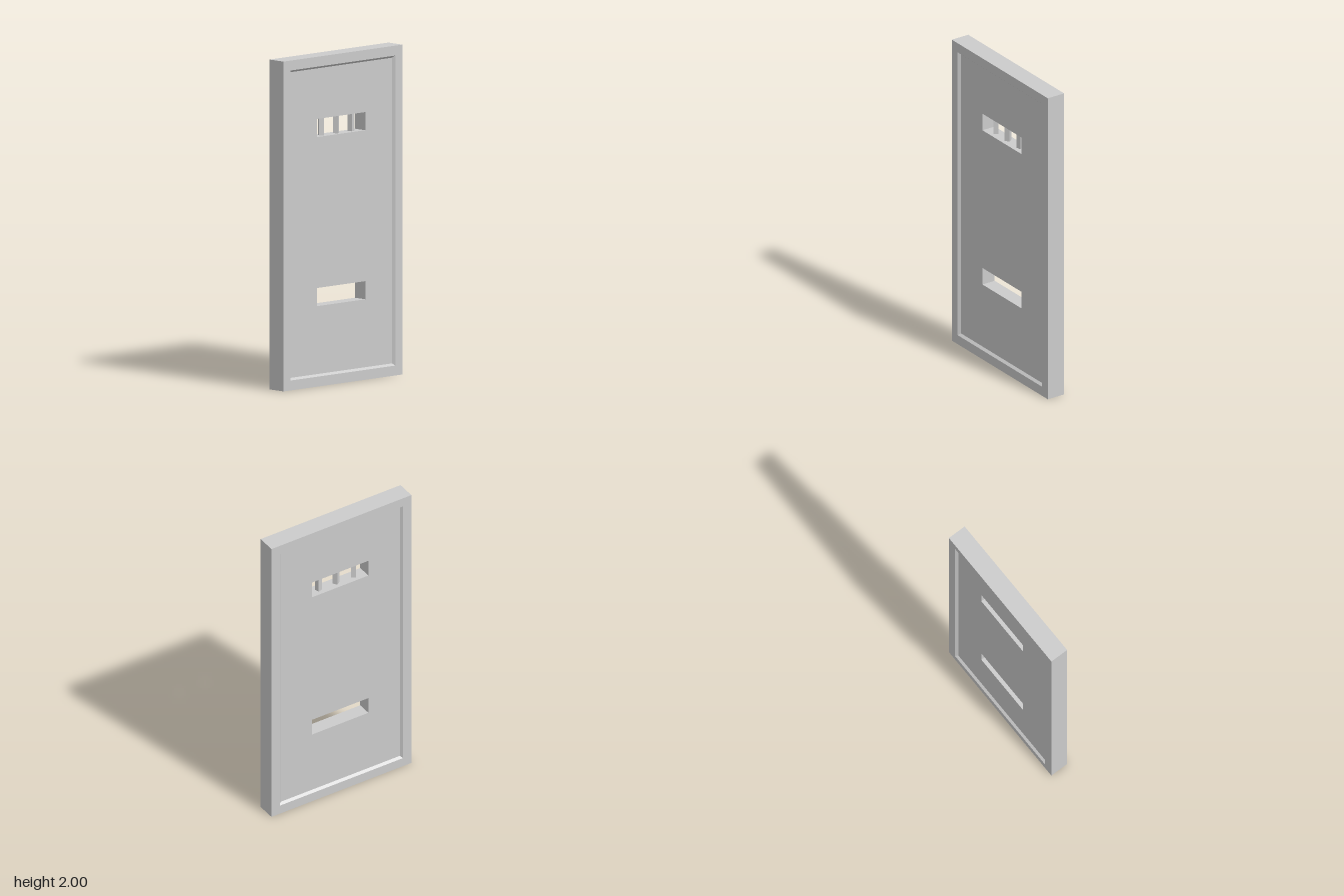
import * as THREE from 'three';

const material = new THREE.MeshStandardMaterial({ color: 0xcccccc, flatShading: true });
const HALF_W = 0.5, HALF_H = 1, HALF_D = 0.06;
const RECESS = 0.015; // depth of the sunken panel on each face
const SLOTS = [{ name: 'viewing', y: 1.565 }, { name: 'serving', y: 0.54 }];
const SLOT_W = 0.405, SLOT_H = 0.11;

// corners of a rectangle, counter-clockwise seen from +z
function rect(halfW, halfH, cy) {
  return [[-1, -1], [1, -1], [1, 1], [-1, 1]]
    .map(([sx, sy]) => new THREE.Vector2(sx * halfW, cy + sy * halfH));
}

// outer frame: rectangular rings joined from the front recess round to the back recess
function frameGeometry() {
  const inner = 0.073, lip = 0.06;
  const rings = [
    [inner, HALF_D - RECESS], [lip, HALF_D], [0, HALF_D],
    [0, -HALF_D], [lip, -HALF_D], [inner, RECESS - HALF_D],
  ].map(([inset, z]) => rect(HALF_W - inset, HALF_H - inset, HALF_H)
    .map((p) => new THREE.Vector3(p.x, p.y, z)));
  const points = [];
  for (let r = 0; r < rings.length - 1; r++) {
    for (let i = 0; i < 4; i++) {
      const j = (i + 1) % 4, a = rings[r], b = rings[r + 1];
      points.push(a[i], b[i], b[j], a[i], b[j], a[j]);
    }
  }
  const geometry = new THREE.BufferGeometry().setFromPoints(points);
  geometry.computeVertexNormals();
  return geometry;
}

// sunken panel with the two slots cut through it
function panelGeometry() {
  const shape = new THREE.Shape(rect(HALF_W - 0.073, HALF_H - 0.073, HALF_H));
  for (const slot of SLOTS) {
    shape.holes.push(new THREE.Path(rect(SLOT_W / 2, SLOT_H / 2, slot.y).reverse()));
  }
  const depth = 2 * (HALF_D - RECESS);
  return new THREE.ExtrudeGeometry(shape, { depth, bevelEnabled: false })
    .translate(0, 0, -depth / 2);
}

export function createModel() {
  const door = new THREE.Group();
  door.name = 'cellDoor';
  const add = (name, geometry) => {
    const mesh = new THREE.Mesh(geometry, material);
    mesh.name = name;
    door.add(mesh);
    return mesh;
  };

  add('frame', frameGeometry());
  add('panel', panelGeometry());

  // square bars in the viewing slot, each twisted differently
  const bars = [[-0.125, -0.56], [0, 0.6], [0.125, 0.27]];
  bars.forEach(([x, turn], i) => {
    const bar = add('bar' + (i + 1), new THREE.BoxGeometry(0.031, SLOT_H, 0.031));
    bar.position.set(x, SLOTS[0].y, 0);
    bar.rotation.y = turn;
  });
  return door;
}
